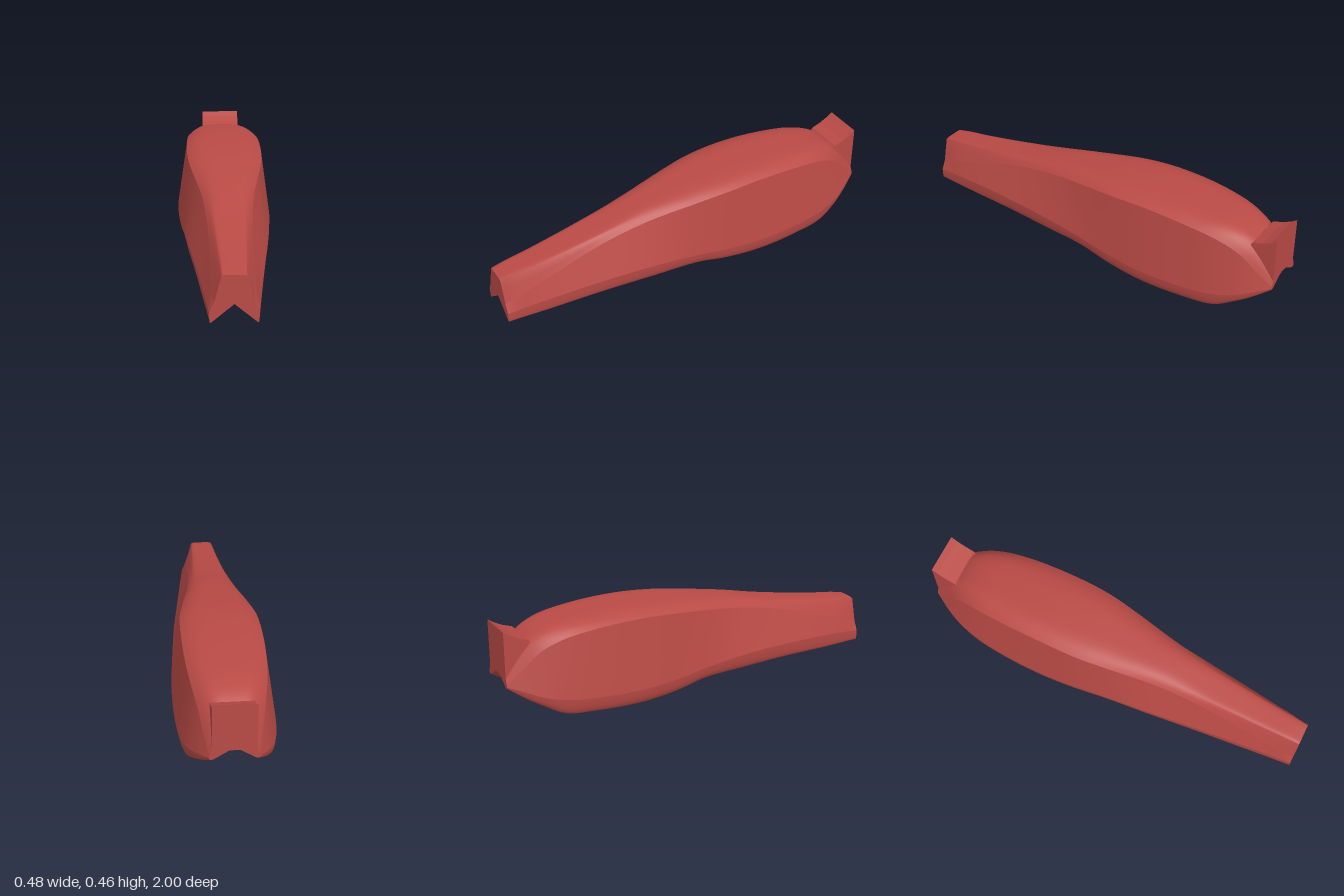
import * as THREE from 'three';

// Stations along the length:
// z, top y, shoulder x, shoulder y, widest x, widest y, bottom y, tunnel lip x, tunnel apex y
const STATIONS = [
  [-1, 0.26, 0.112, 0.19, 0.115, 0.18, 0.17, 0.095, 0.23],
  [-0.92, 0.35, 0.132, 0.262, 0.16, 0.152, 0.115, 0.118, 0.235],
  [-0.85, 0.402, 0.148, 0.33, 0.19, 0.125, 0.075, 0.135, 0.24],
  [-0.75, 0.436, 0.168, 0.38, 0.215, 0.1, 0.022, 0.15, 0.24],
  [-0.6, 0.452, 0.185, 0.41, 0.234, 0.087, 0.008, 0.162, 0.24],
  [-0.35, 0.46, 0.193, 0.424, 0.241, 0.08, 0.001, 0.165, 0.24],
  [-0.15, 0.45, 0.187, 0.413, 0.232, 0.093, 0.018, 0.157, 0.24],
  [0, 0.432, 0.166, 0.394, 0.22, 0.112, 0.044, 0.145, 0.235],
  [0.25, 0.393, 0.125, 0.353, 0.198, 0.128, 0.047, 0.133, 0.22],
  [0.5, 0.336, 0.104, 0.295, 0.168, 0.123, 0.045, 0.122, 0.195],
  [0.8, 0.285, 0.1, 0.2, 0.133, 0.105, 0.035, 0.108, 0.15],
  [0.94, 0.267, 0.097, 0.155, 0.117, 0.092, 0.034, 0.102, 0.128],
  [1, 0.255, 0.087, 0.13, 0.11, 0.085, 0.033, 0.1, 0.12],
];
const RINGS = 80;
const { lerp, smoothstep } = THREE.MathUtils;

const spline = new THREE.CubicInterpolant(
  STATIONS.map((s) => s[0]), STATIONS.flatMap((s) => s.slice(1)), 8, new Float32Array(8));

function sectionAt(z) {
  const [top, sx, sy, wx, wy, bottom, lip, apex] = spline.evaluate(z);
  return { z, top, sx, sy, wx, wy, bottom, lip, apex };
}

const mirrored = (pts) => pts.map(([x, y]) => [-x, y]).reverse();

// Panel outlines, each running counter-clockwise seen from the front
function topLine(s) { // domed body blending into a flat-topped neck
  const neck = smoothstep(s.z, 0.25, 0.55);
  const neckX = lerp(0.105, 0.057, s.z);
  const pts = [];
  for (let i = 0; i <= 20; i++) {
    const u = 1 - i / 10, a = Math.abs(u);
    const t = Math.max(0, (a - 0.8) / 0.2);
    const edgeY = s.top - 0.006;
    const flatX = t > 0 ? lerp(neckX, s.sx, t) : (neckX * a) / 0.8;
    const flatY = t > 0 ? lerp(edgeY, s.sy, t) : lerp(s.top, edgeY, (a / 0.8) ** 6);
    const domeY = s.top - (s.top - s.sy) * a ** 4;
    pts.push([Math.sign(u) * lerp(s.sx * a, flatX, neck), lerp(domeY, flatY, neck)]);
  }
  return pts;
}

function flankLine(s) { // right side, shoulder down to the widest line
  const pts = [];
  for (let i = 0; i <= 4; i++) pts.push([-lerp(s.sx, s.wx, i / 4), lerp(s.sy, s.wy, i / 4)]);
  return pts;
}

function underLine(s) { // rolled lower edges joined by the arched tunnel
  const roll = [[1, 0], [0.97, 0.3], [0.91, 0.58], [0.82, 0.82], [0.7, 0.95], [0.55, 1], [0.15, 1]]
    .map(([a, b]) => [-lerp(s.lip, s.wx, a), lerp(s.wy, s.bottom, b)]);
  const p = 1 + 0.5 * (1 - s.z * s.z);
  const lipY = lerp(s.wy, s.bottom, 0.96);
  const tunnel = [];
  for (let i = 0; i <= 14; i++) {
    const u = i / 7 - 1;
    tunnel.push([s.lip * u, s.apex - (s.apex - lipY) * Math.abs(u) ** p]);
  }
  return [...roll, ...tunnel, ...mirrored(roll)];
}

// Skin one panel over all stations
function loft(line) {
  const pos = [], index = [];
  let n = 0;
  for (let i = 0; i <= RINGS; i++) {
    const s = sectionAt(-1 + (2 * i) / RINGS);
    const pts = line(s);
    n = pts.length;
    for (const [x, y] of pts) pos.push(x, y, s.z);
  }
  for (let i = 0; i < RINGS; i++) {
    for (let j = 0; j < n - 1; j++) {
      const a = i * n + j, c = a + n;
      index.push(a, a + 1, c, a + 1, c + 1, c);
    }
  }
  const g = new THREE.BufferGeometry();
  g.setAttribute('position', new THREE.Float32BufferAttribute(pos, 3));
  g.setIndex(index);
  g.computeVertexNormals();
  return g;
}

export function createModel() {
  const group = new THREE.Group();
  const red = new THREE.MeshStandardMaterial({ color: 0xb94a45 });
  red.name = 'red paint';
  const add = (name, geometry) => {
    const mesh = new THREE.Mesh(geometry, red);
    mesh.name = name;
    group.add(mesh);
    return mesh;
  };

  // Body panels, meeting at crisp creases
  const panels = {
    topPanel: topLine,
    rightFlank: flankLine,
    underside: underLine,
    leftFlank: (s) => mirrored(flankLine(s)),
  };
  for (const [name, line] of Object.entries(panels)) add(name, loft(line));

  // Flat end faces
  const endFace = (z) => {
    const s = sectionAt(z);
    const outline = Object.values(panels).flatMap((line) => line(s).slice(0, -1));
    return new THREE.ShapeGeometry(new THREE.Shape(outline.map(([x, y]) => new THREE.Vector2(x, y))));
  };
  add('frontFace', endFace(1)).position.z = 1;
  const back = endFace(-1);
  back.rotateY(Math.PI); // symmetric, so turning it round faces it backwards
  add('backFace', back).position.z = -1;

  // Upturned mounting tab at the tail, drawn in side profile (-z, y)
  const tab = new THREE.Shape([
    [0.87, 0.375], [1, 0.215], [1, 0.445], [0.97, 0.425], [0.93, 0.405], [0.88, 0.388],
  ].map(([x, y]) => new THREE.Vector2(x, y)));
  const tabGeometry = new THREE.ExtrudeGeometry(tab, { depth: 0.2, bevelEnabled: false });
  tabGeometry.translate(0, 0, -0.1);
  tabGeometry.rotateY(Math.PI / 2);
  add('tailTab', tabGeometry);

  return group;
}
